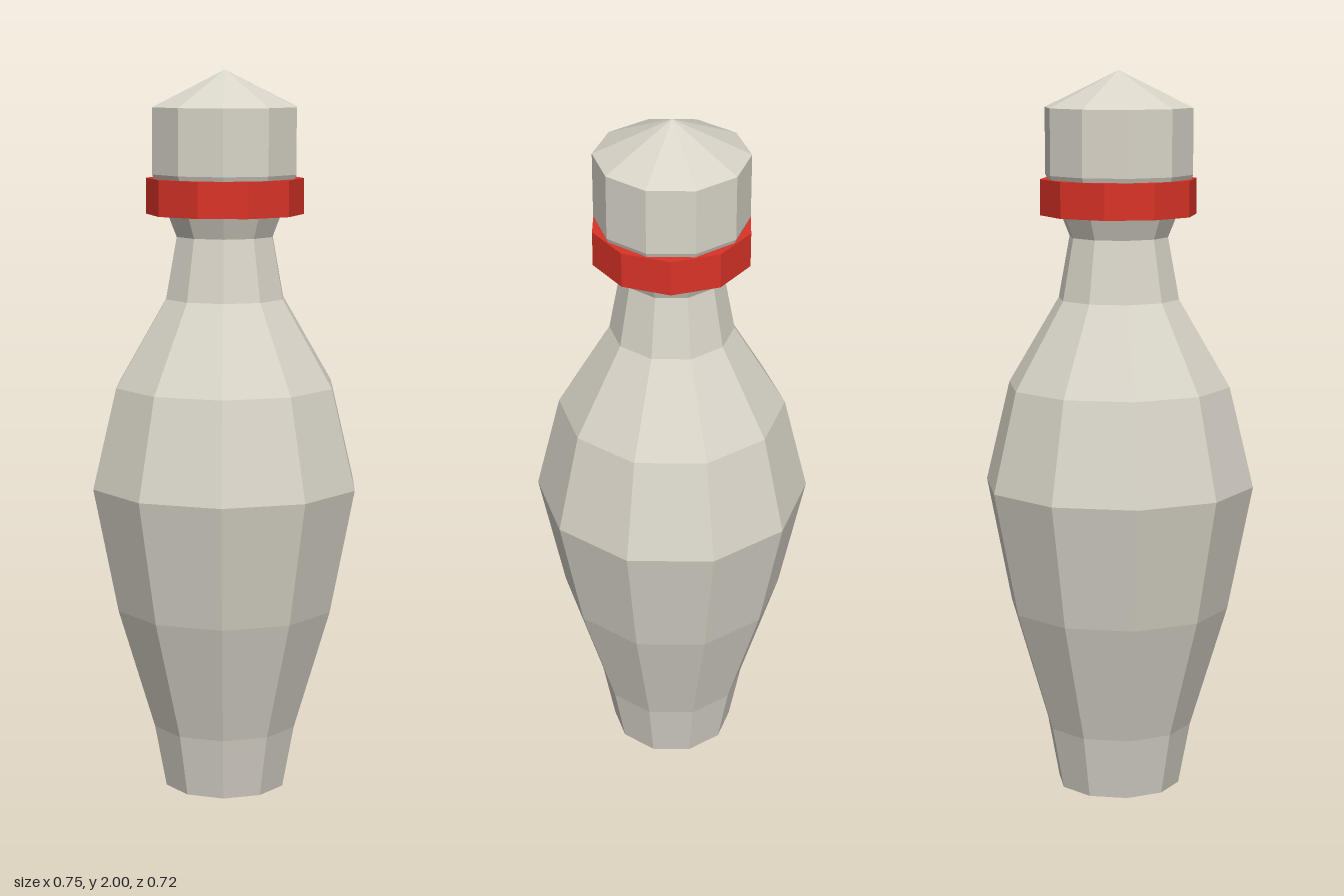
import * as THREE from 'three';

const SIDES = 10;

export function createModel() {
  const ivory = new THREE.MeshStandardMaterial({ color: 0xd8d4c8, flatShading: true });
  ivory.name = 'ivory';
  const red = new THREE.MeshStandardMaterial({ color: 0xd93327, flatShading: true });
  red.name = 'red';

  const group = new THREE.Group();
  group.name = 'bowlingPin';

  // Turned part from [radius, height] pairs, listed bottom to top
  const turn = (name, profile, material, start) => {
    const points = profile.map(([r, y]) => new THREE.Vector2(r, y));
    const mesh = new THREE.Mesh(new THREE.LatheGeometry(points, SIDES, start), material);
    mesh.name = name;
    group.add(mesh);
  };

  // Pin body: base, belly, neck, flare and pointed head, with corners on the x axis
  turn('body', [
    [0, 0], [0.172, 0], [0.205, 0.175], [0.308, 0.515], [0.377, 0.862],
    [0.31, 1.14], [0.168, 1.38], [0.137, 1.55], [0.205, 1.72], [0.205, 1.9], [0, 2],
  ], ivory, Math.PI / 2);

  // Collar: closed ring turned half a side, with corners on the z axis
  turn('collar', [
    [0, 1.61], [0.216, 1.61], [0.216, 1.708], [0, 1.708],
  ], red, 0);

  return group;
}
